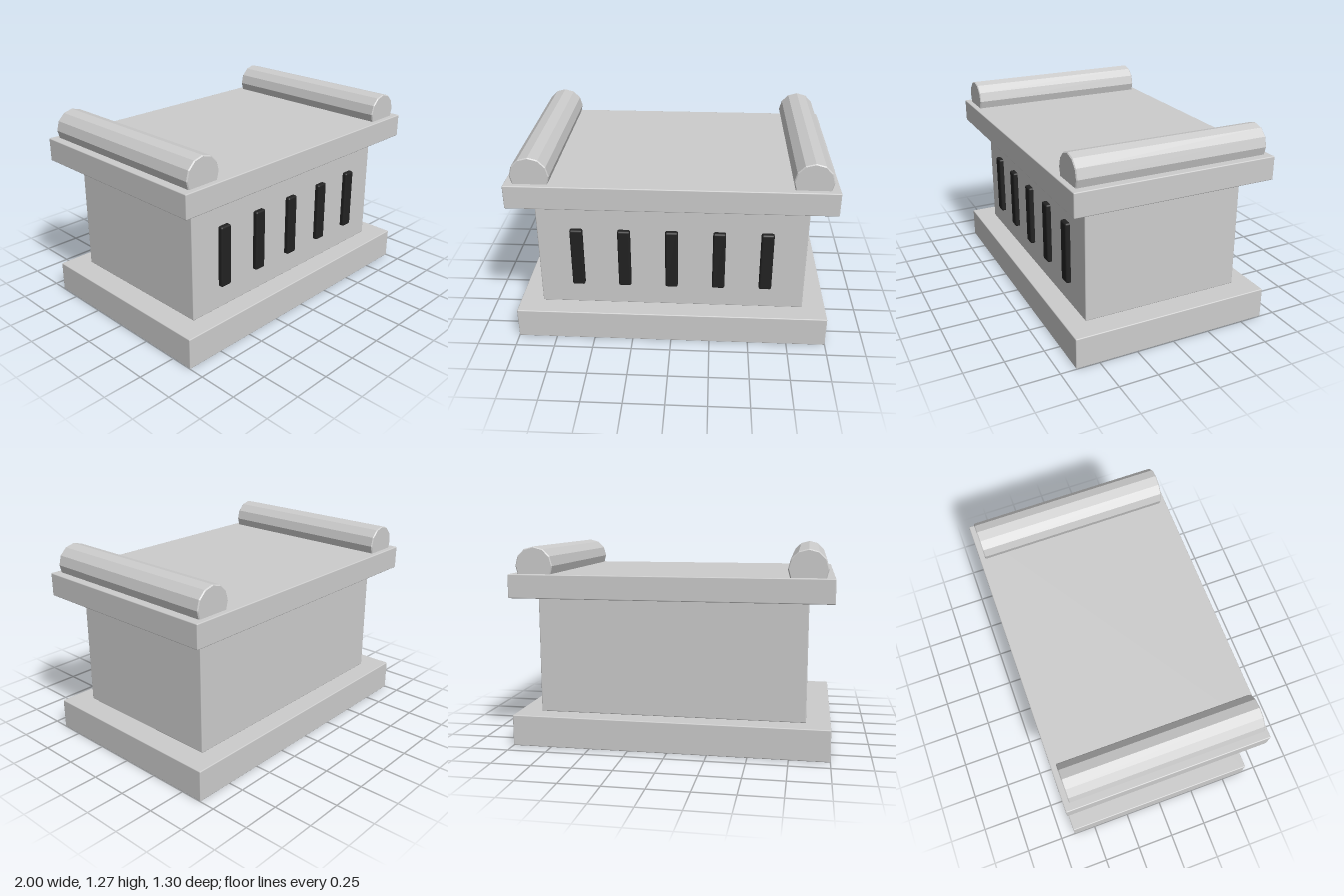
import * as THREE from 'three';
import { RoundedBoxGeometry } from 'three/addons/geometries/RoundedBoxGeometry.js';

export function createModel() {
  const model = new THREE.Group();
  const stone = new THREE.MeshStandardMaterial({ color: 0xcccccc });
  stone.name = 'paleStone';
  const dark = new THREE.MeshStandardMaterial({ color: 0x222222 });
  dark.name = 'darkSlot';
  const rollStone = stone.clone(); // same colour, faceted
  rollStone.flatShading = true;

  function add(name, geometry, material, x, y, z) {
    const mesh = new THREE.Mesh(geometry, material);
    mesh.name = name;
    mesh.position.set(x, y, z);
    model.add(mesh);
    return mesh;
  }

  // A softly bevelled block standing on height y
  function block(name, w, h, d, y, material = stone, x = 0, z = 0, bevel = 0.006) {
    return add(name, new RoundedBoxGeometry(w, h, d, 2, bevel), material, x, y + h / 2, z);
  }

  // Plinth, body and top slab
  block('base', 2, 0.2, 1.3, 0);
  block('body', 1.7, 0.75, 1.04, 0.2);
  block('topSlab', 2, 0.15, 1.3, 0.95);

  // Vertical bars across the front
  for (let i = -2; i <= 2; i++) {
    block('frontBar', 0.08, 0.4, 0.06, 0.35, dark, i * 0.3, 0.52, 0.012);
  }

  // Twelve-sided bolsters with bevelled ends, sunk into the slab
  const r = 0.12, half = 0.615, b = 0.006;
  const profile = [
    [0, -half], [r - b, -half], [r, -half + b],
    [r, half - b], [r - b, half], [0, half],
  ].map(([x, y]) => new THREE.Vector2(x, y));
  for (const side of [-1, 1]) {
    const roll = add(side > 0 ? 'leftBolster' : 'rightBolster',
      new THREE.LatheGeometry(profile, 12), rollStone, side * 0.84, 1.15, 0);
    roll.rotation.x = Math.PI / 2;
  }

  return model;
}
